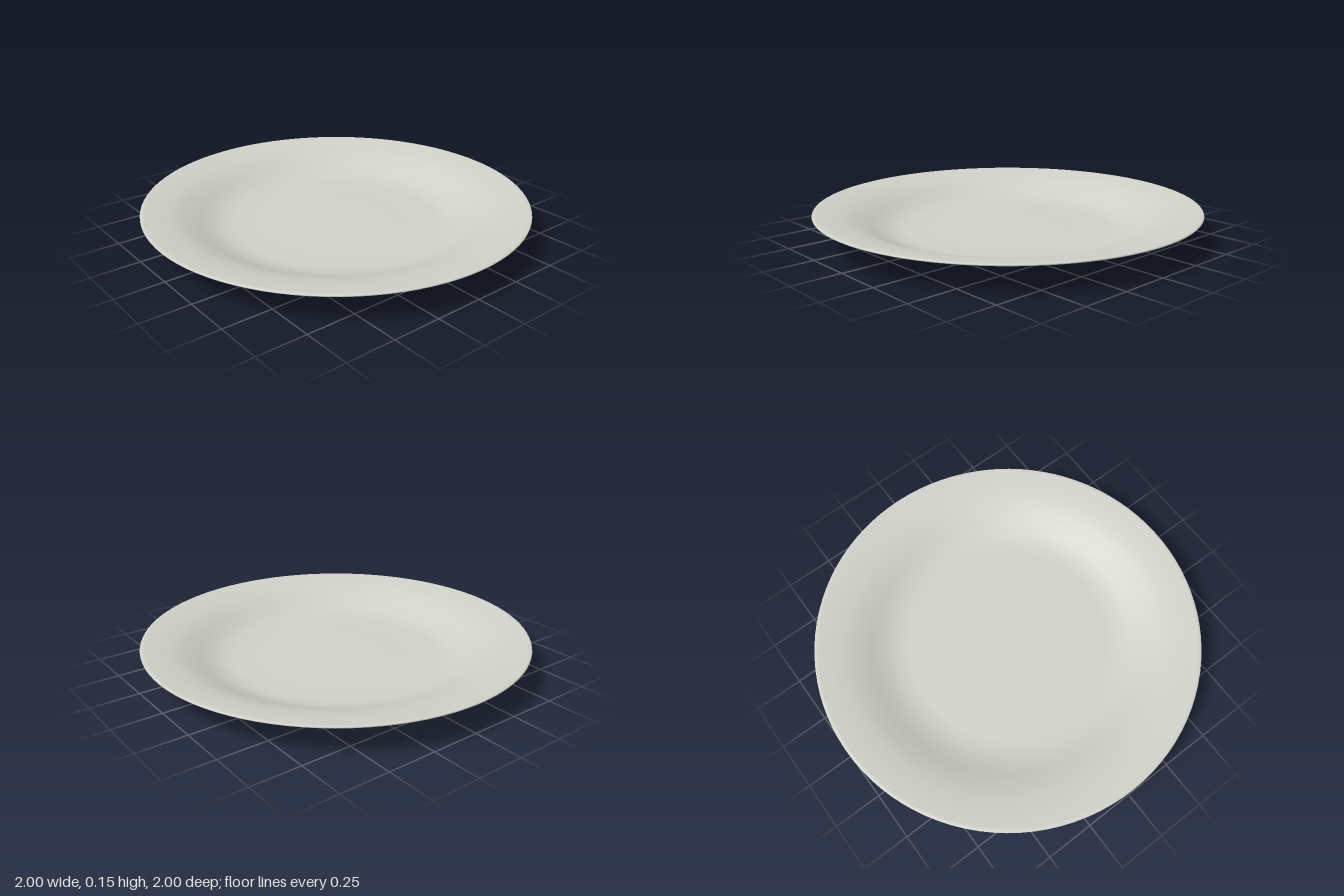
import * as THREE from 'three';

export function createModel() {
  const plate = new THREE.Group();
  plate.name = 'plate';
  const glaze = new THREE.MeshStandardMaterial({ color: 0xd0d0ca });
  glaze.name = 'pale grey glaze';

  // Each part is turned from a [radius, height] profile, running from the
  // underside centre outwards, over the lip and back to the upper centre.
  const turn = (name, profile, samples = 0) => {
    let points = profile.map(([r, y]) => new THREE.Vector2(r, y));
    if (samples) points = new THREE.SplineCurve(points).getPoints(samples);
    const mesh = new THREE.Mesh(new THREE.LatheGeometry(points, 96), glaze);
    mesh.name = name;
    plate.add(mesh);
  };

  // Recessed base and the foot ring around it
  turn('base', [[0, 0.012], [0.545, 0.012]]);
  turn('footRing', [
    [0.545, 0.012], [0.55, 0.003], [0.556, 0], [0.57, 0], [0.576, 0.004], [0.584, 0.029],
  ]);

  // Flaring underside
  turn('underside', [
    [0.584, 0.029], [0.64, 0.041], [0.7, 0.058], [0.8, 0.093], [0.9, 0.124], [0.985, 0.138],
  ], 24);

  // Rounded lip
  turn('lip', [
    [0.985, 0.138], [0.996, 0.14], [1, 0.144], [0.996, 0.149], [0.982, 0.15],
  ], 12);

  // Sloping inside of the rim, running smoothly into the flat well
  turn('well', [
    [0.982, 0.15], [0.9, 0.139], [0.82, 0.121], [0.75, 0.095], [0.68, 0.063],
    [0.62, 0.042], [0.56, 0.032], [0.48, 0.03], [0.24, 0.03], [0, 0.03],
  ], 45);

  return plate;
}
